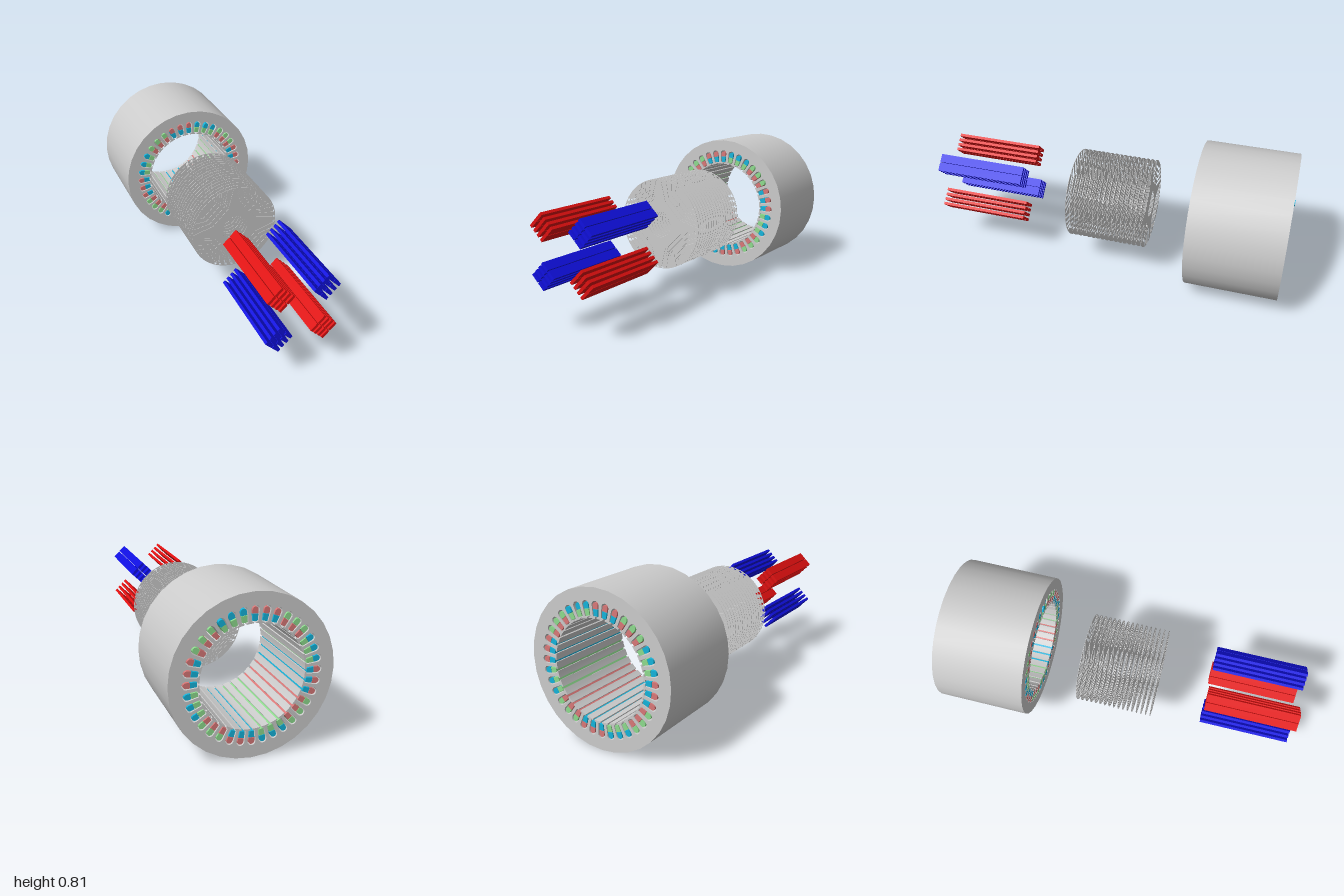
import * as THREE from 'three';
import { toCreasedNormals } from 'three/addons/utils/BufferGeometryUtils.js';

const AXIS_Y = 0.404;
const V = (x, y) => new THREE.Vector2(x, y);
const rad = THREE.MathUtils.degToRad;
const mat = (color) => new THREE.MeshStandardMaterial({ color });

// Point at distance r along a ray of angle a, moved t sideways
const along = (a, r, t) =>
  V(r * Math.cos(a) - t * Math.sin(a), r * Math.sin(a) + t * Math.cos(a));

const circle = (r, n) =>
  Array.from({ length: n }, (_, i) => along((i / n) * Math.PI * 2, r, 0));

function extrude(outline, holes, depth, curveCrease = 0.5) {
  const shape = new THREE.Shape(outline);
  shape.holes = holes.map((h) => new THREE.Path(h));
  const geo = new THREE.ExtrudeGeometry(shape, { depth, bevelEnabled: false });
  return toCreasedNormals(geo, curveCrease);
}

// Half-round cap of radius w centred at distance r, from -w to +w
function cap(r, w, n) {
  return Array.from({ length: n + 1 }, (_, i) => {
    const a = -Math.PI / 2 + (i / n) * Math.PI;
    return [r + w * Math.cos(a), w * Math.sin(a)];
  });
}

export function createModel() {
  const model = new THREE.Group();
  const motor = new THREE.Group();
  motor.name = 'explodedMotor';
  motor.position.y = AXIS_Y;
  model.add(motor);

  const grey = mat(0xcccccc);
  const red = mat(0xd97878);
  const cyan = mat(0x14b4dc);
  const green = mat(0x8edc8e);

  const add = (parent, name, geo, material, z = 0, turn = 0) => {
    const mesh = new THREE.Mesh(geo, material);
    mesh.name = name;
    mesh.position.z = z;
    mesh.rotation.z = turn;
    parent.add(mesh);
    return mesh;
  };

  // Stator core: bore and slots form one inner contour
  const SLOTS = 36, LENGTH = 0.507, BACK = -0.995;
  const slotProfile = [
    [0.256, -0.005], [0.262, -0.005], [0.265, -0.0155],
    ...cap(0.32, 0.02, 10),
    [0.265, 0.0155], [0.262, 0.005], [0.256, 0.005],
  ];
  const inner = [];
  for (let i = 0; i < SLOTS; i++) {
    const a = rad(i * 10);
    slotProfile.forEach(([r, t]) => inner.push(along(a, r, t)));
    inner.push(along(a + rad(5), 0.256, 0));
  }
  add(motor, 'statorCore', extrude(circle(0.403, 32), [inner], LENGTH), grey, BACK);

  // Windings: two bars per slot, three slots per phase
  const windings = new THREE.Group();
  windings.name = 'windings';
  motor.add(windings);
  const toPoints = (list) => list.map(([r, t]) => V(r, t));
  const outerBar = extrude(
    toPoints([[0.301, -0.0135], ...cap(0.319, 0.014, 8), [0.301, 0.0135]]), [], LENGTH);
  const innerBar = extrude(
    toPoints([[0.267, -0.011], [0.299, -0.0135], [0.299, 0.0135], [0.267, 0.011]]), [], LENGTH);
  const phases = [[red, cyan], [cyan, green], [green, red]];
  for (let i = 0; i < SLOTS; i++) {
    const [outerColor, innerColor] = phases[Math.floor(((i + 2) % 9) / 3)];
    const turn = Math.PI / 2 - rad(i * 10); // clockwise from the top
    const shift = i === 2 ? 0.007 : i === 3 ? -0.005 : 0; // two bars stick out
    add(windings, 'outerWindingBar', outerBar, outerColor, BACK + shift, turn);
    add(windings, 'innerWindingBar', innerBar, innerColor, BACK, turn);
  }

  // Flux barriers: per layer [distance, half width at bend, arm end angle]
  const T = 0.008;
  const layers = [
    { r: 0.126, bend: 0.061, end: 41.5 },
    { r: 0.155, bend: 0.06, end: 33 },
    { r: 0.184, bend: 0.057, end: 24.5 },
    { r: 0.213, bend: 0.054, end: 17 },
  ];
  const RIB = 0.0015, RIM = 0.2465;

  // Half of a barrier: straight magnet pocket, then an arm out to the rim
  function barrierHalf({ r, bend, end }) {
    const e = rad(end), d = 0.0072 / RIM;
    const tip = (a) => [RIM * Math.cos(a), RIM * Math.sin(a)];
    return [
      [r - T, RIB], [r - T, bend + 0.004],
      tip(e + d), tip(e), tip(e - d),
      [r + T, bend - 0.004], [r + T, RIB],
    ];
  }
  const barriers = [];
  for (let q = 0; q < 4; q++) {
    const a = rad(45 + 90 * q);
    for (const layer of layers) {
      for (const side of [1, -1]) {
        barriers.push(barrierHalf(layer).map(([r, t]) => along(a, r, t * side)));
      }
    }
  }

  // Rotor: a stack of spaced thin laminations
  const rotor = new THREE.Group();
  rotor.name = 'rotor';
  motor.add(rotor);
  const SHEET = 0.002, SHEETS = 17;
  const sheetGeo = extrude(circle(0.251, 72), [circle(0.074, 40), ...barriers], SHEET);
  for (let i = 0; i < SHEETS; i++) {
    add(rotor, 'rotorLamination', sheetGeo, grey, -0.221 + (i * 0.427) / (SHEETS - 1));
  }

  // Magnets: two bars per layer, colours alternate from pole to pole
  const magnetGeo = new THREE.BoxGeometry(0.0155, 0.0475, 0.507);
  const poleColors = [mat(0x1010e0), mat(0xe01010)];
  for (let q = 0; q < 4; q++) {
    const pole = new THREE.Group();
    pole.name = 'magnetPole';
    pole.rotation.z = rad(45 + 90 * q);
    motor.add(pole);
    for (const { r } of layers) {
      for (const side of [1, -1]) {
        const magnet = add(pole, 'magnet', magnetGeo, poleColors[q % 2], 0.7465);
        magnet.position.x = r;
        magnet.position.y = side * 0.0258;
      }
    }
  }

  return model;
}
